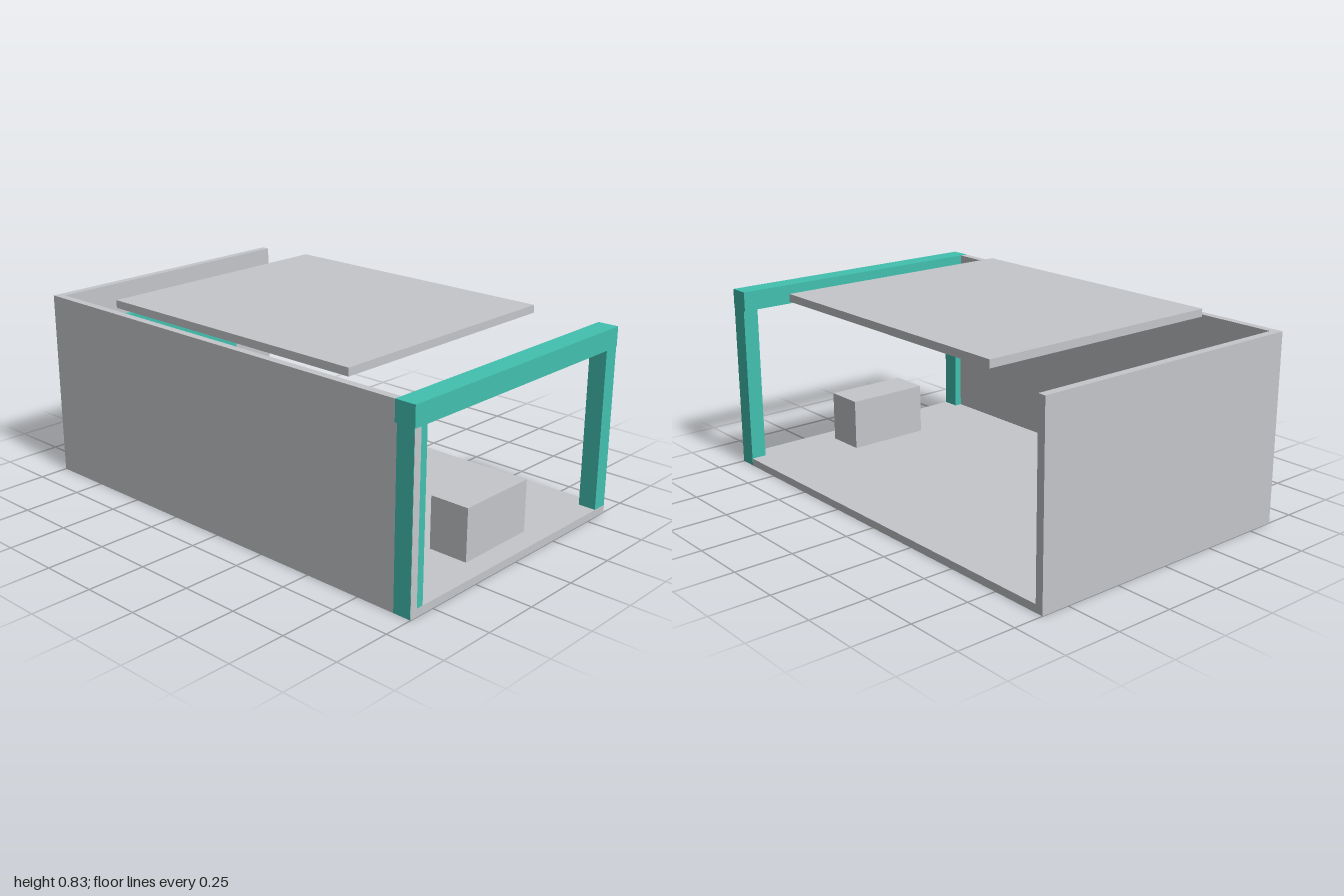
import * as THREE from 'three';

export function createModel() {
  const model = new THREE.Group();
  model.name = 'openBooth';

  const grey = new THREE.MeshStandardMaterial({ color: 0xc5c6ca });
  grey.name = 'pale grey';
  const teal = new THREE.MeshStandardMaterial({ color: 0x42c1b1 });
  teal.name = 'teal';

  // Box given by its extents on each axis
  function block(name, material, [x0, x1], [y0, y1], [z0, z1]) {
    const mesh = new THREE.Mesh(new THREE.BoxGeometry(x1 - x0, y1 - y0, z1 - z0), material);
    mesh.position.set((x0 + x1) / 2, (y0 + y1) / 2, (z0 + z1) / 2);
    mesh.name = name;
    model.add(mesh);
  }

  const W = 0.622; // half width

  // Shell: floor, one side wall and back wall; the other side stays open
  block('floor', grey, [-W, W], [0, 0.033], [-1, 1]);
  block('sideWall', grey, [-W, -0.588], [0.033, 0.8], [-0.965, 1]);
  block('backWall', grey, [-W, W], [0.033, 0.8], [-1, -0.965]);

  // Floating roof panel
  block('roofPanel', grey, [-0.56, 0.56], [0.8, 0.833], [-0.648, 0.645]);

  // Entrance frame, posts a hair proud at the sides and set back at the front
  block('leftPost', teal, [0.555, W + 0.001], [0.001, 0.716], [0.922, 0.999]);
  block('rightPost', teal, [-W - 0.001, -0.555], [0.001, 0.716], [0.922, 0.999]);
  block('header', teal, [-W - 0.001, W + 0.001], [0.716, 0.801], [0.912, 1.001]);

  // Counter by the entrance
  block('counter', grey, [-0.187, 0.187], [0.033, 0.256], [0.733, 0.907]);

  // Display on the back wall with its mount
  block('screen', teal, [-0.355, 0.355], [0.265, 0.663], [-0.945, -0.92]);
  block('screenMount', grey, [-0.345, 0.345], [0.283, 0.643], [-0.957, -0.945]);

  return model;
}
